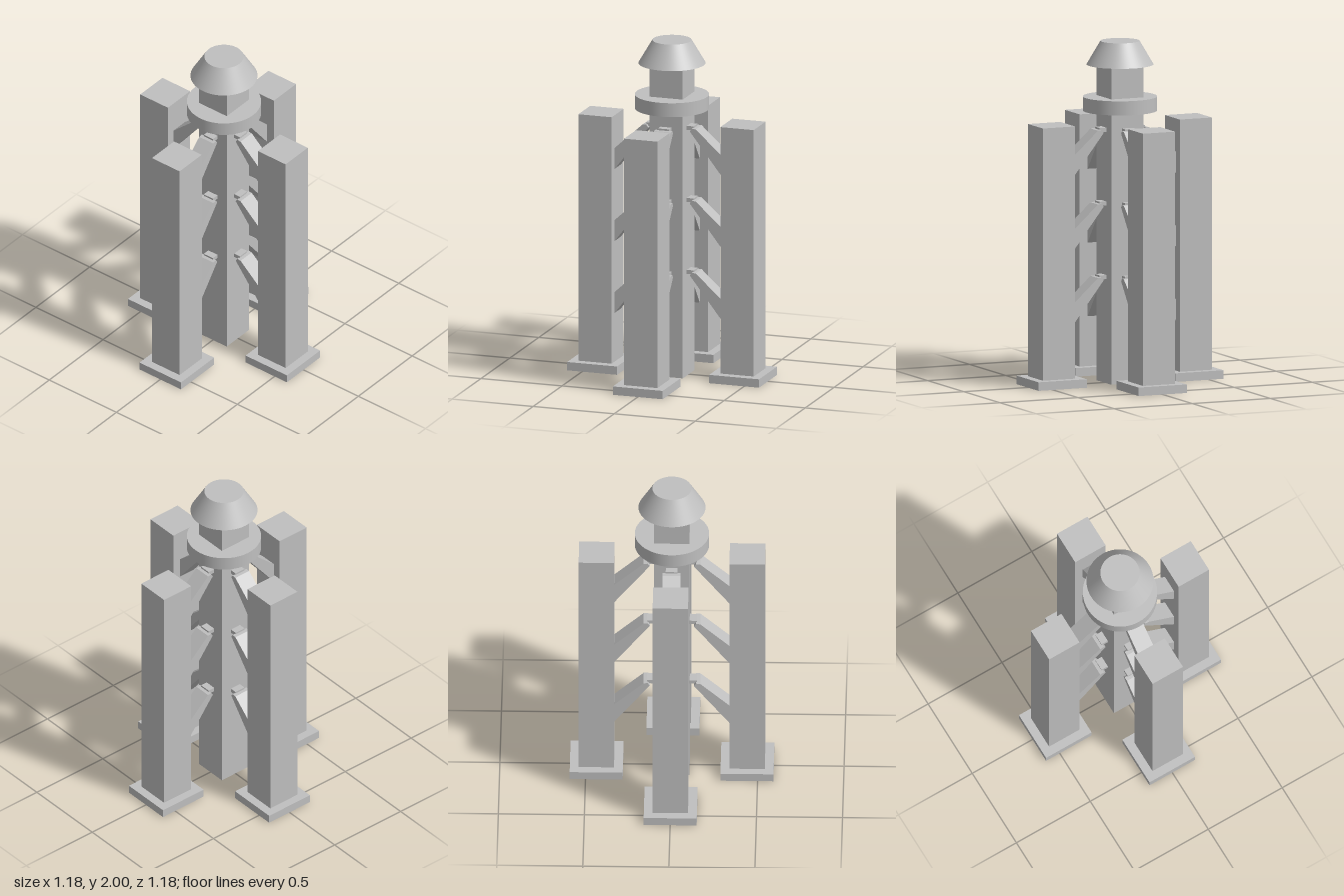
import * as THREE from 'three';

const grey = new THREE.MeshStandardMaterial({ color: 0xbfbfbf });
grey.name = 'plain grey';

function add(parent, name, geometry, x = 0, y = 0, z = 0) {
  const mesh = new THREE.Mesh(geometry, grey);
  mesh.name = name;
  mesh.position.set(x, y, z);
  parent.add(mesh);
  return mesh;
}

// Box given by its width, depth and its bottom and top heights
function addBlock(parent, name, width, depth, bottom, top, x = 0) {
  return add(parent, name, new THREE.BoxGeometry(width, top - bottom, depth), x, (bottom + top) / 2, 0);
}

// Sloping brace profile, relative to the height of its upper end
function braceGeometry(width) {
  const shape = new THREE.Shape([
    [0.337, -0.295], [0.337, -0.168], [0.165, -0.012], [0.14, -0.01], [0.128, -0.027],
  ].map(([x, y]) => new THREE.Vector2(x, y)));
  const geometry = new THREE.ExtrudeGeometry(shape, { depth: width, bevelEnabled: false });
  geometry.translate(0, 0, -width / 2);
  return geometry;
}

export function createModel() {
  const model = new THREE.Group();
  model.name = 'tower';

  // Central column with collar and tapered cap
  addBlock(model, 'centralColumn', 0.206, 0.206, 0, 1.862);
  add(model, 'collar', new THREE.CylinderGeometry(0.216, 0.216, 0.083, 64), 0, 1.633, 0);
  add(model, 'cap', new THREE.CylinderGeometry(0.114, 0.195, 0.138, 64), 0, 1.931, 0);

  // Four outer pillars, each on a foot and tied to the column by three braces
  const brace = braceGeometry(0.104);
  for (let side = 0; side < 4; side++) {
    const arm = new THREE.Group();
    arm.name = 'outerPillarAssembly';
    arm.rotation.y = side * Math.PI / 2;
    addBlock(arm, 'foot', 0.308, 0.308, 0, 0.05, 0.438);
    addBlock(arm, 'pillar', 0.206, 0.206, 0.05, 1.53, 0.438);
    for (const height of [0.635, 1.067, 1.5]) {
      add(arm, 'brace', brace, 0, height, 0);
      addBlock(arm, 'bracePlate', 0.045, 0.068, height - 0.024, height, 0.123);
    }
    model.add(arm);
  }
  return model;
}
